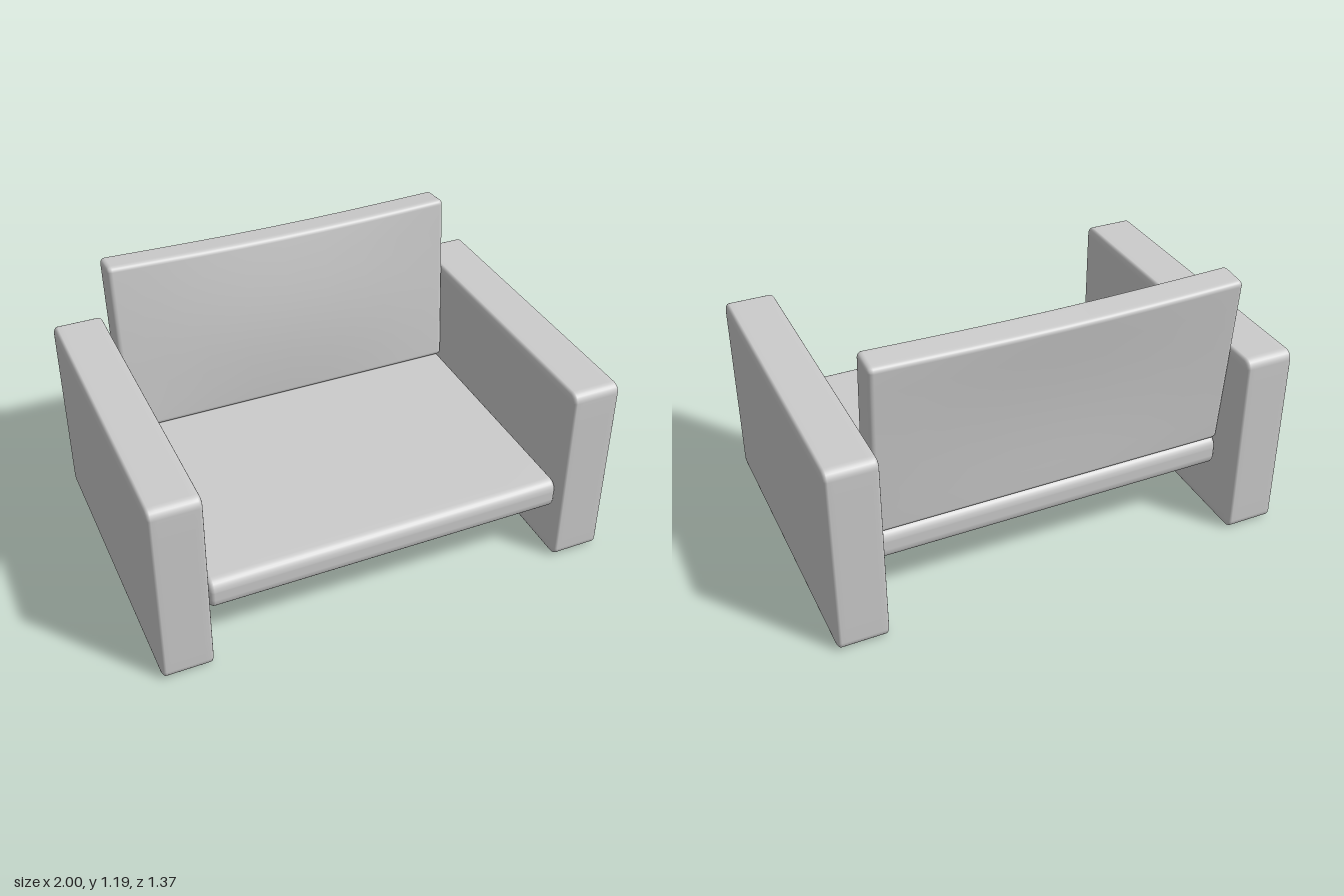
import * as THREE from 'three';
import { mergeVertices } from 'three/addons/utils/BufferGeometryUtils.js';

const material = new THREE.MeshStandardMaterial({ color: 0xcccccc });
const CORNER = 3, MIDDLE = 8, N = 2 * CORNER + MIDDLE;

// Places grid step i along an axis, packing CORNER steps into each rounded end.
function gridStep(i, half, r) {
  if (i <= CORNER) return -half + (r * i) / CORNER;
  if (i >= N - CORNER) return half - (r * (N - i)) / CORNER;
  return -(half - r) + (2 * (half - r) * (i - CORNER)) / MIDDLE;
}

// Box with a separate edge radius per axis; an optional rule bends its vertices.
function softBox(size, radius, bend) {
  let geo = new THREE.BoxGeometry(1, 1, 1, N, N, N);
  geo.deleteAttribute('normal');
  geo.deleteAttribute('uv');
  geo = mergeVertices(geo);
  const pos = geo.attributes.position;
  const p = new THREE.Vector3(), inner = new THREE.Vector3(), off = new THREE.Vector3();
  for (let v = 0; v < pos.count; v++) {
    p.fromBufferAttribute(pos, v);
    for (let a = 0; a < 3; a++) {
      const half = size[a] / 2, r = radius[a];
      const c = gridStep(Math.round((p.getComponent(a) + 0.5) * N), half, r);
      const core = THREE.MathUtils.clamp(c, r - half, half - r);
      inner.setComponent(a, core);
      off.setComponent(a, (c - core) / r);
    }
    off.normalize();
    p.set(...radius).multiply(off).add(inner);
    if (bend) bend(p);
    pos.setXYZ(v, p.x, p.y, p.z);
  }
  geo.computeVertexNormals();
  return geo;
}

function addPart(group, name, geo, x, y, z) {
  const mesh = new THREE.Mesh(geo, material);
  mesh.name = name;
  mesh.position.set(x, y, z);
  group.add(mesh);
}

export function createModel() {
  const group = new THREE.Group();
  group.name = 'armchair';

  // Slab arms reaching the floor
  const arm = softBox([0.22, 0.855, 1.372], [0.018, 0.04, 0.04]);
  addPart(group, 'leftArm', arm, 0.888, 0.4275, 0);
  addPart(group, 'rightArm', arm, -0.888, 0.4275, 0);

  // Seat cushion with rounded front and rear edges
  addPart(group, 'seat', softBox([1.555, 0.138, 1.195], [0.025, 0.045, 0.045]), 0, 0.328, 0.055);

  // Backrest leaning back, its middle puffed forward and its top edge sagging
  const w = 1.555, h = 0.79, d = 0.135, lean = 0.085;
  const back = softBox([w, h, d], [0.022, 0.022, 0.022], (p) => {
    const across = Math.cos((p.x / w) * Math.PI);
    const up = Math.cos((p.y / h) * Math.PI);
    const top = Math.max(0, p.y / (h / 2));
    const y = p.y, z = p.z;
    p.z += across * up * (z > 0 ? 0.026 : 0.012) - lean * y;
    p.y += lean * z - 0.015 * across * top;
  });
  addPart(group, 'backrest', back, 0, 0.792, -0.5);

  return group;
}
